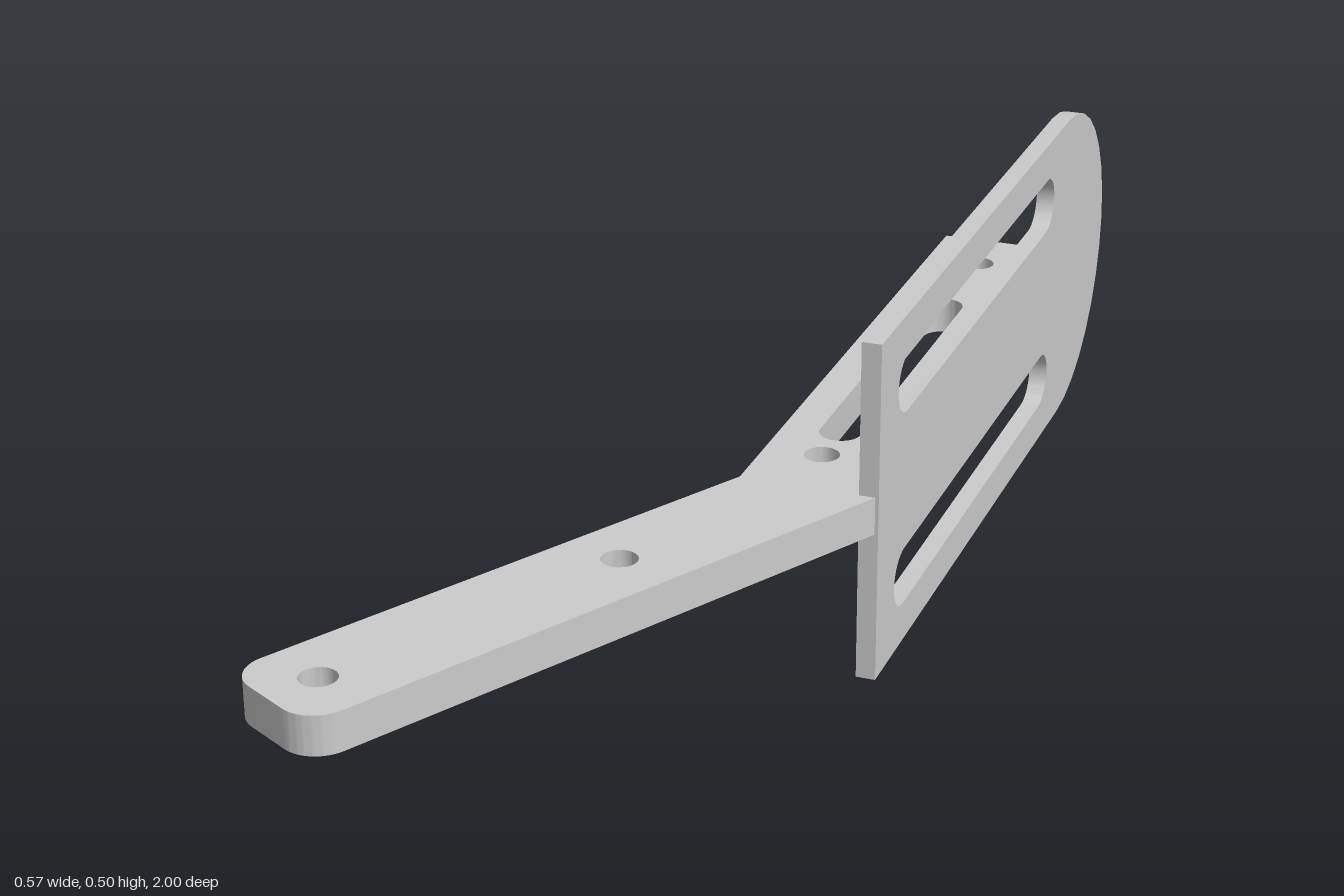
import * as THREE from 'three';
import { toCreasedNormals } from 'three/addons/utils/BufferGeometryUtils.js';

const material = new THREE.MeshStandardMaterial({ color: 0xcccccc });

// Round hole as a path
function hole(x, y, r) {
  return new THREE.Path().absarc(x, y, r, 0, Math.PI * 2, true);
}

// Slot running along shape x (or y when upright) between two arc centres
function slot(a, b, c, r, upright = false) {
  const p = new THREE.Path(), h = Math.PI / 2;
  if (upright) {
    p.absarc(c, b, r, 0, 2 * h, false);
    p.absarc(c, a, r, 2 * h, 4 * h, false);
  } else {
    p.absarc(b, c, r, -h, h, false);
    p.absarc(a, c, r, h, 3 * h, false);
  }
  p.closePath();
  return p;
}

function extrude(shape, depth, curveSegments) {
  return new THREE.ExtrudeGeometry(shape, { depth, curveSegments, bevelEnabled: false });
}

function addPart(group, name, geometry) {
  const mesh = new THREE.Mesh(toCreasedNormals(geometry, 0.6), material);
  mesh.name = name;
  group.add(mesh);
}

export function createModel() {
  const group = new THREE.Group();
  group.name = 'slottedBracket';

  // Upright plate with a round rear end and two long slots (shape x = -z)
  const plate = new THREE.Shape();
  plate.moveTo(-0.21, 0);
  plate.lineTo(0.75, 0);
  plate.absarc(0.75, 0.25, 0.25, -Math.PI / 2, Math.PI / 2, false);
  plate.lineTo(-0.21, 0.5);
  plate.closePath();
  for (const y of [0.102, 0.398]) plate.holes.push(slot(-0.088, 0.63, y, 0.043));
  addPart(group, 'sidePlate', extrude(plate, 0.028, 8).rotateY(Math.PI / 2).translate(0.255, 0, 0));

  // Bent flat arm (shape y = z), its angled tip has rounded corners
  const d = new THREE.Vector2(-0.478, 0.878);
  const n = new THREE.Vector2(0.878, 0.478);
  const tip = new THREE.Vector2(-0.195, 0.91).addScaledVector(d, 0.075);
  const at = (across, along) => tip.clone().addScaledVector(n, across).addScaledVector(d, along);
  const w = 0.085, r = 0.05;
  const turn = Math.atan2(n.y, n.x);
  const arm = new THREE.Shape();
  arm.moveTo(0.085, -0.76);
  arm.lineTo(0.255, -0.76);
  arm.lineTo(0.255, 0.21);
  arm.lineTo(0.278, 0.21);
  const right = at(w - r, -r), left = at(r - w, -r);
  arm.absarc(right.x, right.y, r, turn, turn + Math.PI / 2, false);
  arm.absarc(left.x, left.y, r, turn + Math.PI / 2, turn + Math.PI, false);
  arm.lineTo(0.085, 0.21);
  arm.closePath();
  for (const [x, z] of [[0.167, -0.66], [0.167, 0.105], [0.025, 0.495], [-0.195, 0.91]]) {
    arm.holes.push(hole(x, z, 0.025));
  }
  arm.holes.push(slot(-0.47, 0.025, 0.167, 0.03, true));
  addPart(group, 'bentArm', extrude(arm, 0.055, 10).rotateX(Math.PI / 2).translate(0, 0.277, 0));

  // Ring bosses under the two holes of the straight section
  [-0.66, 0.105].forEach((z, i) => {
    const ring = new THREE.Shape().absarc(0.17, z, 0.054, 0, Math.PI * 2, false);
    ring.holes.push(hole(0.167, z, 0.025));
    addPart(group, i ? 'frontBoss' : 'rearBoss',
      extrude(ring, 0.039, 16).rotateX(Math.PI / 2).translate(0, 0.222, 0));
  });

  return group;
}
